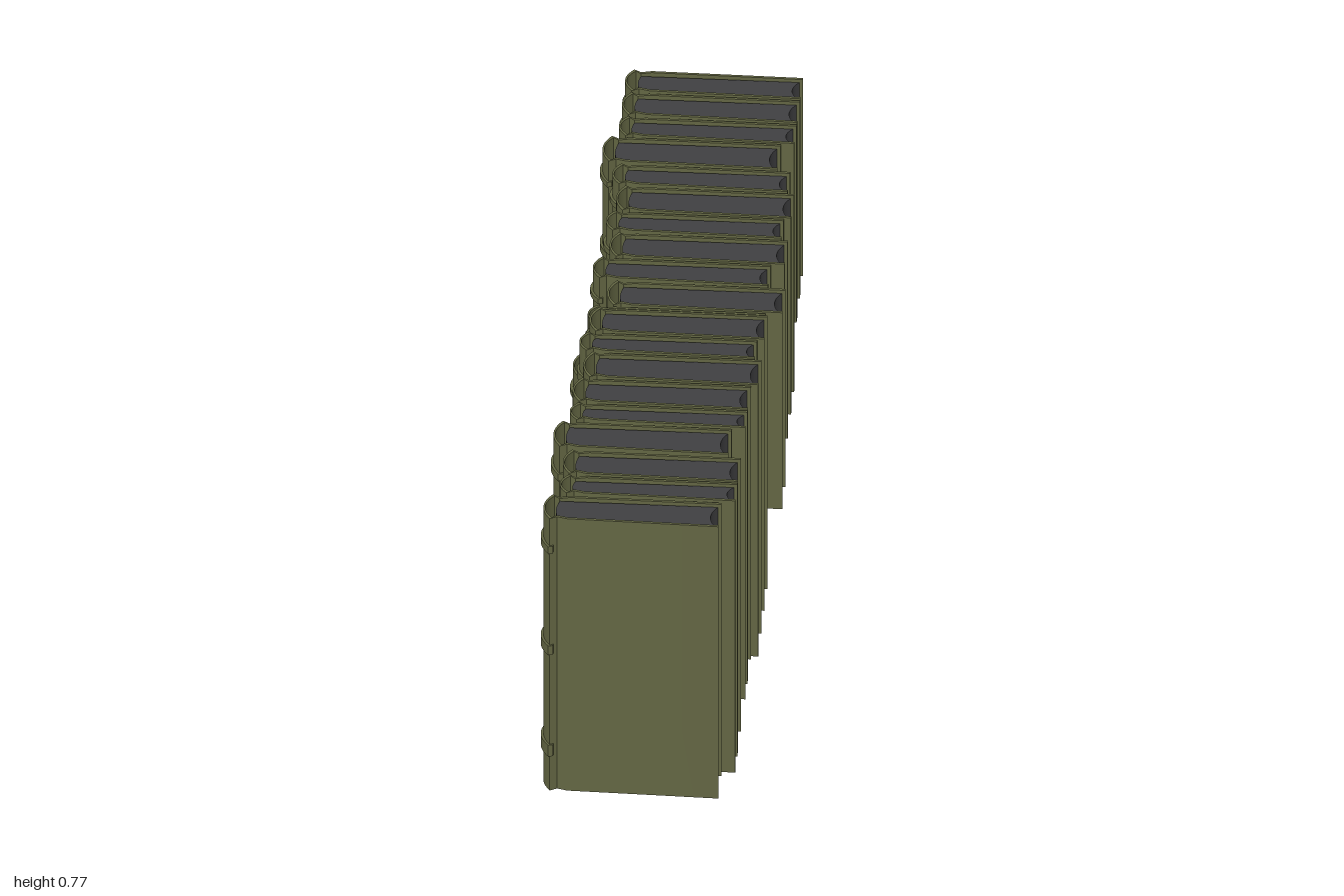
import * as THREE from 'three';
import { toCreasedNormals } from 'three/addons/utils/BufferGeometryUtils.js';

const coverOlive = new THREE.MeshStandardMaterial({ color: 0x636643 });
coverOlive.name = 'coverOlive';
const pageGrey = new THREE.MeshStandardMaterial({ color: 0x404042 });
pageGrey.name = 'pageGrey';

const BOOK_DEPTH = 0.403; // spine to fore-edge
const BOARD = 0.006; // cover thickness

// Each book: [z from, z to, x of the cover's fore-edge]
const TALL = [
  [0.9, 0.993, 0.175], [0.822, 0.892, 0.205], [0.727, 0.818, 0.205],
  [0.62, 0.717, 0.175], [0.547, 0.613, 0.205], [0.453, 0.543, 0.205],
  [0.353, 0.449, 0.221], [0.279, 0.349, 0.205], [0.184, 0.275, 0.221],
];
const SHORT = [
  [0.084, 0.18, 0.175], [-0.024, 0.076, 0.193], [-0.096, -0.03, 0.193],
  [-0.193, -0.1, 0.231], [-0.28, -0.2, 0.19], [-0.376, -0.284, 0.221],
  [-0.456, -0.382, 0.205], [-0.553, -0.46, 0.221], [-0.636, -0.559, 0.205],
  [-0.738, -0.642, 0.175], [-0.816, -0.742, 0.205], [-0.907, -0.822, 0.205],
  [-0.993, -0.912, 0.205],
];

// Stand an outline drawn in plan upright as a prism of the given height
function upright(points, height, y) {
  const shape = new THREE.Shape(points.map(([x, z]) => new THREE.Vector2(x, z)));
  const geo = new THREE.ExtrudeGeometry(shape, { depth: height, bevelEnabled: false });
  geo.rotateX(-Math.PI / 2).translate(0, y, 0);
  return toCreasedNormals(geo, 0.6);
}

// Rounded spine in plan, from +z to -z, bulging toward -x
function spineArc(xEdge, bulge, half, steps = 10) {
  return Array.from({ length: steps + 1 }, (_, i) => {
    const t = 1 - (2 * i) / steps;
    return [xEdge - bulge * (1 - t * t), half * t];
  });
}

function addMesh(group, geo, material, name) {
  const mesh = new THREE.Mesh(geo, material);
  mesh.name = name;
  group.add(mesh);
}

function makeBook([z0, z1, xFore], y, height, bandHeights) {
  const book = new THREE.Group();
  book.name = 'book';
  const half = (z1 - z0) / 2;
  const xSpine = xFore - BOOK_DEPTH;
  const bulge = 0.018;
  const xEdge = xSpine + bulge;

  // Cover: two boards, a hinge groove and the hollow rounded spine
  const outline = (inset) => {
    const boards = [
      [xFore, half - 0.001 - inset], [xEdge + 0.04, half - 0.003 - inset],
      [xEdge + 0.016, half - 0.009 - inset],
    ];
    const mirrored = boards.map(([x, z]) => [x, -z]).reverse();
    return [...boards, ...spineArc(xEdge + inset * 0.7, bulge, half - inset), ...mirrored];
  };
  const cover = [...outline(0), ...outline(BOARD).reverse()];
  addMesh(book, upright(cover, height, y), coverOlive, 'cover');

  // Page block: hollowed fore-edge, gently curved back
  const pageHalf = half - 0.0095;
  const xPage = xFore - 0.008;
  const fore = spineArc(xPage, 0.014, pageHalf, 8);
  const back = spineArc(xEdge + 0.017, 0.006, pageHalf - 0.006, 6).reverse();
  addMesh(book, upright([...fore, ...back], height - 0.014, y + 0.007), pageGrey, 'pages');

  // Raised bands wrapped over the spine
  const outer = spineArc(xEdge - 0.003, bulge + 0.003, half + 0.004);
  const inner = spineArc(xEdge + 0.002, bulge, half - 0.002).reverse();
  const band = [[xEdge + 0.008, half + 0.001], ...outer, [xEdge + 0.008, -half - 0.001],
    [xEdge + 0.008, -half + 0.006], ...inner, [xEdge + 0.008, half - 0.006]];
  for (const [yMid, h] of bandHeights) {
    addMesh(book, upright(band, h, yMid - h / 2), coverOlive, 'spineBand');
  }

  book.position.z = (z0 + z1) / 2;
  return book;
}

export function createModel() {
  const model = new THREE.Group();
  model.name = 'bookRow';
  const tallBands = [[0.685, 0.02], [0.4, 0.026], [0.115, 0.032]];
  const shortBands = [[0.502, 0.014], [0.297, 0.019], [0.09, 0.024]];
  for (const b of TALL) model.add(makeBook(b, 0, 0.772, tallBands));
  for (const b of SHORT) model.add(makeBook(b, 0.009, 0.558, shortBands));
  return model;
}
